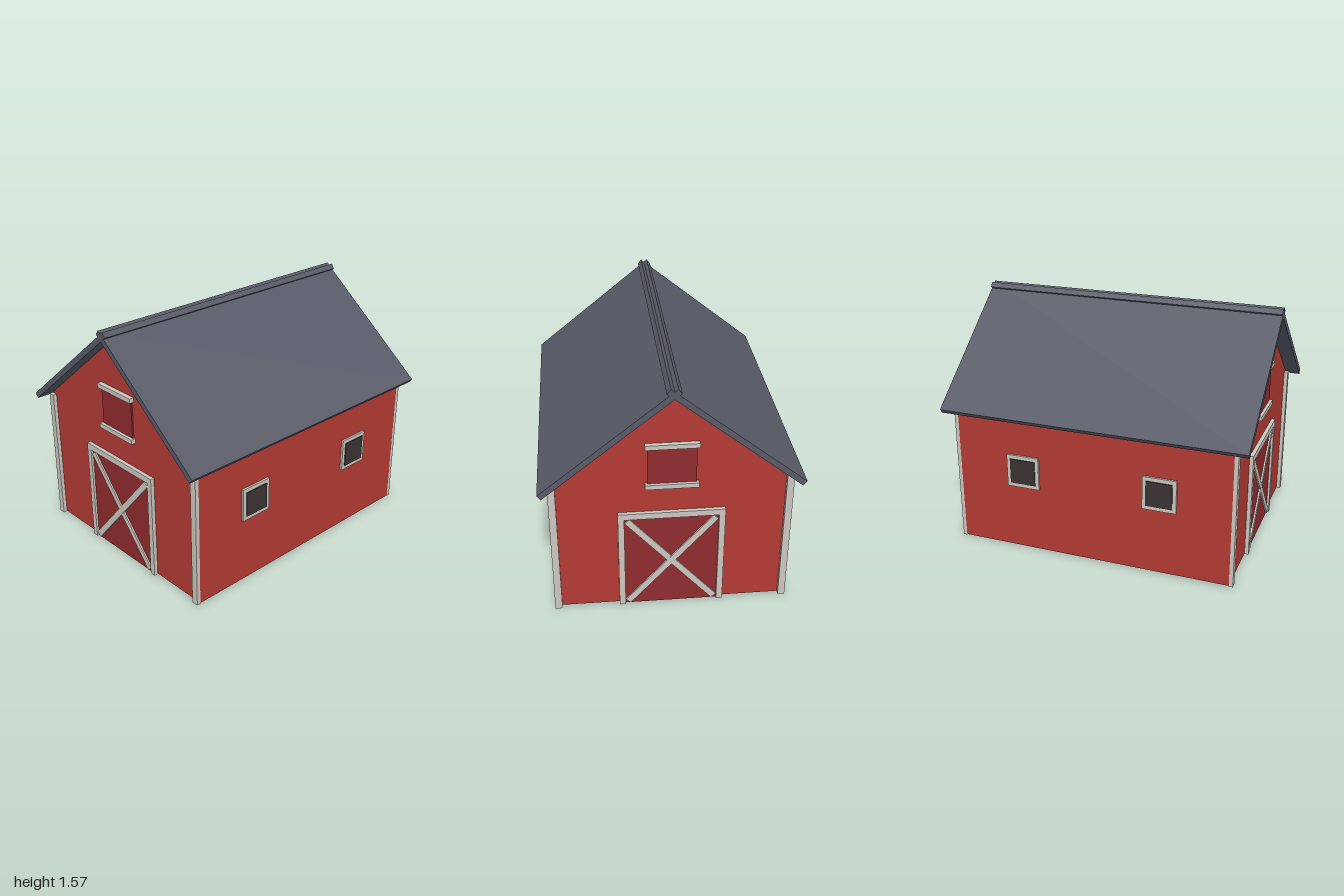
import * as THREE from 'three';

const mat = (name, color) => {
  const m = new THREE.MeshStandardMaterial({ color });
  m.name = name;
  return m;
};

export function createModel() {
  const red = mat('barn red', 0xb33a33);
  const darkRed = mat('door red', 0x8f2b2e);
  const trim = mat('off-white trim', 0xcbc7bf);
  const slate = mat('slate roof', 0x585b67);
  const glass = mat('dark window', 0x3a3433);

  const barn = new THREE.Group();
  barn.name = 'barn';

  // Box given by its minimum and maximum corners
  const box = (parent, name, material, [x0, y0, z0], [x1, y1, z1]) => {
    const mesh = new THREE.Mesh(new THREE.BoxGeometry(x1 - x0, y1 - y0, z1 - z0), material);
    mesh.position.set((x0 + x1) / 2, (y0 + y1) / 2, (z0 + z1) / 2);
    mesh.name = name;
    parent.add(mesh);
    return mesh;
  };

  const W = 0.73, D = 0.905, WALL = 0.91, APEX = 1.503;

  // Walls and the triangular gable block
  box(barn, 'walls', red, [-W, 0.005, -D], [W, WALL, D]);
  const tri = new THREE.Shape([
    new THREE.Vector2(-W, WALL), new THREE.Vector2(W, WALL), new THREE.Vector2(0, APEX),
  ]);
  const gable = new THREE.Mesh(
    new THREE.ExtrudeGeometry(tri, { depth: 2 * D, bevelEnabled: false }), red);
  gable.position.z = -D;
  gable.name = 'gable';
  barn.add(gable);

  // Two roof slabs that cross at the ridge
  const low = new THREE.Vector2(-0.775, 0.901), high = new THREE.Vector2(0.032, 1.551);
  const run = high.clone().sub(low);
  for (const s of [1, -1]) {
    const slab = new THREE.Mesh(new THREE.BoxGeometry(run.length(), 0.037, 2), slate);
    slab.position.set(s * (low.x + high.x) / 2, (low.y + high.y) / 2, 0);
    slab.rotation.z = s * run.angle();
    slab.name = s > 0 ? 'roofRight' : 'roofLeft';
    barn.add(slab);
  }

  // End wall details, the same on the front and the back
  for (const end of ['front', 'back']) {
    const g = new THREE.Group();
    g.name = end + 'Details';
    if (end === 'back') g.rotation.y = Math.PI;
    barn.add(g);

    for (const s of [-1, 1]) {
      const post = box(g, 'cornerPost', trim, [0.686, 0, D], [W, WALL, 0.93]);
      post.position.x *= s;
      const jamb = box(g, 'doorJamb', trim, [0.287, 0, D], [0.325, 0.697, 0.93]);
      jamb.position.x *= s;
    }
    box(g, 'doorHeader', trim, [-0.287, 0.656, D], [0.287, 0.697, 0.93]);
    box(g, 'barnDoor', darkRed, [-0.287, 0, D], [0.287, 0.656, 0.915]);

    // Crossed door braces
    for (const s of [-1, 1]) {
      const brace = box(g, 'doorBrace', trim, [-0.411, 0.31, 0.91], [0.411, 0.35, s > 0 ? 0.926 : 0.925]);
      brace.rotation.z = s * Math.atan2(0.62, 0.54);
    }

    // Loft hatch
    box(g, 'loftDoor', darkRed, [-0.146, 0.885, D], [0.146, 1.16, 0.915]);
    for (const y of [0.87, 1.142])
      box(g, 'loftTrim', trim, [-0.16, y, D], [0.16, y + 0.03, 0.935]);
  }

  // Side windows
  for (const s of [-1, 1]) {
    for (const z of [0.455, -0.455]) {
      const g = new THREE.Group();
      g.name = 'window';
      g.position.set(s * W, 0.547, z);
      g.rotation.y = s * Math.PI / 2;
      box(g, 'windowFrame', trim, [-0.109, -0.109, 0], [0.109, 0.109, 0.014]);
      box(g, 'windowPane', glass, [-0.085, -0.083, 0.012], [0.085, 0.083, 0.02]);
      barn.add(g);
    }
  }

  return barn;
}
